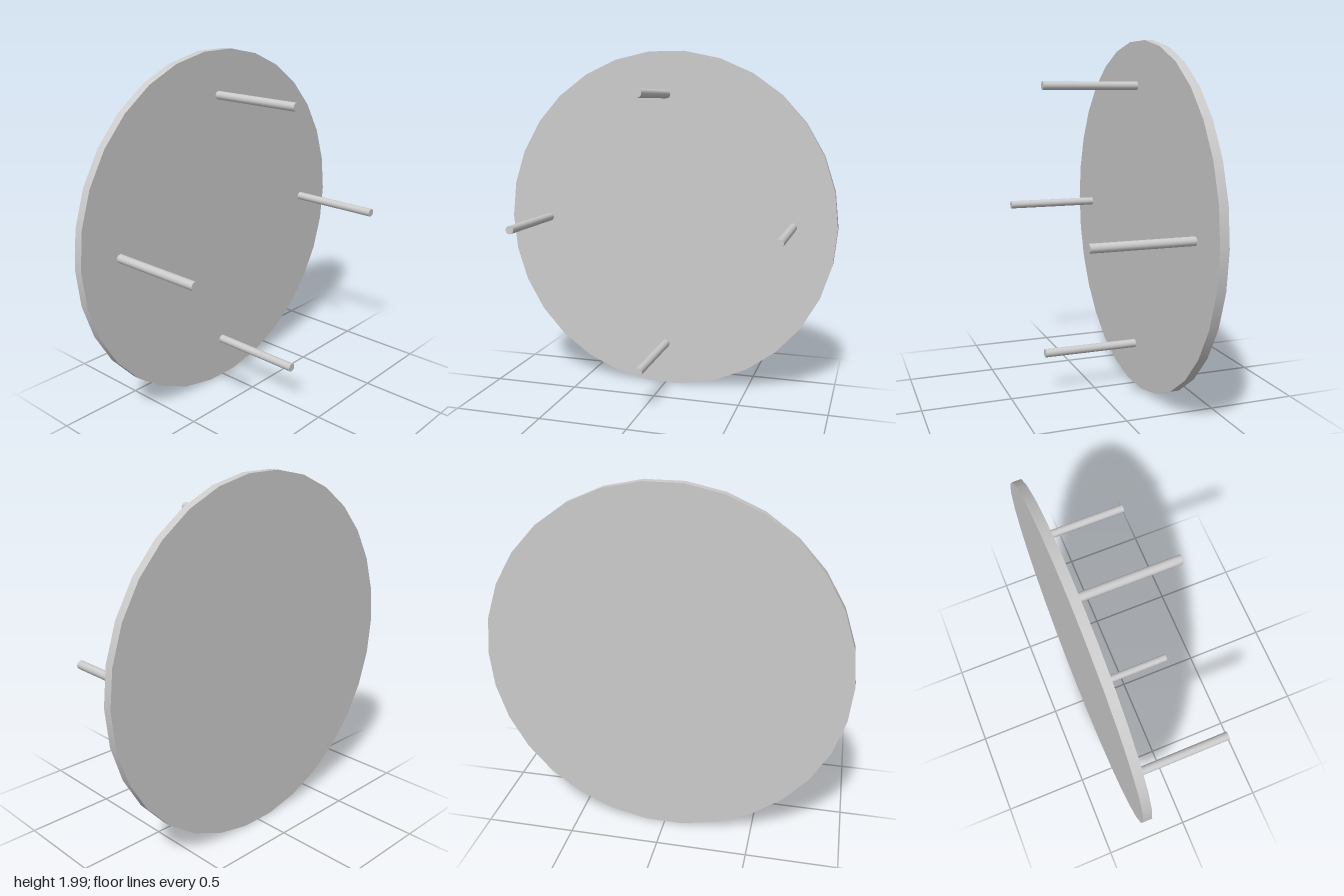
import * as THREE from 'three';

const CENTRE_Y = 0.995;
const BACK = -0.3, FACE = -0.25, TIP = 0.3;

// Cylinder running along z between two depths, with a corner on the x axis
function rodAlongZ(radius, z0, z1, sides) {
  const geo = new THREE.CylinderGeometry(radius, radius, z1 - z0, sides, 1, false, Math.PI / 2);
  geo.rotateX(Math.PI / 2);
  geo.translate(0, 0, (z0 + z1) / 2);
  return geo;
}

export function createModel() {
  const model = new THREE.Group();
  model.name = 'pegDisc';
  const material = new THREE.MeshStandardMaterial({ color: 0xcccccc });

  // Upright thirty-sided plate
  const plate = new THREE.Mesh(rodAlongZ(1, BACK, FACE, 30), material);
  plate.name = 'plate';
  plate.position.y = CENTRE_Y;
  model.add(plate);

  // Four pegs standing out from the front face
  const pegGeometry = rodAlongZ(0.024, FACE, TIP, 12);
  const names = ['leftPeg', 'topPeg', 'rightPeg', 'bottomPeg'];
  names.forEach((name, i) => {
    const angle = (i * Math.PI) / 2;
    const peg = new THREE.Mesh(pegGeometry, material);
    peg.name = name;
    peg.position.set(0.75 * Math.cos(angle), CENTRE_Y + 0.75 * Math.sin(angle), 0);
    model.add(peg);
  });

  return model;
}
